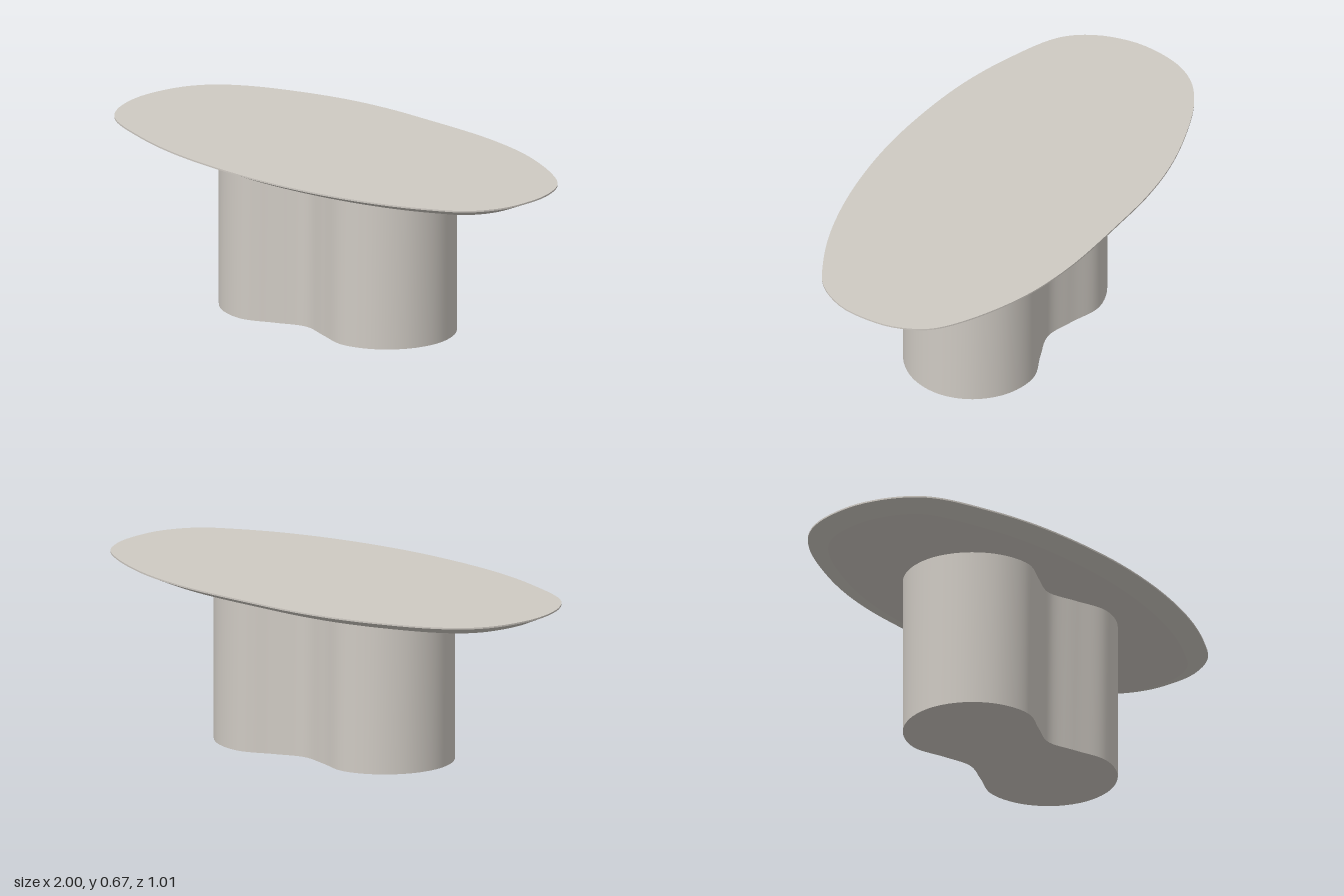
import * as THREE from 'three';
import { mergeGeometries } from 'three/addons/utils/BufferGeometryUtils.js';

// Smooth closed outline in the ground plane through [x, z] points
function outline(points, count) {
  const curve = new THREE.CatmullRomCurve3(points.map(([x, z]) => new THREE.Vector3(x, 0, z)), true);
  return curve.getSpacedPoints(count).slice(0, count);
}

// Move an outline inwards by a distance along its normals
function inset(ring, distance) {
  const n = ring.length;
  return ring.map((p, i) => {
    const t = ring[(i + 1) % n].clone().sub(ring[(i + n - 1) % n]).normalize();
    return new THREE.Vector3(p.x - t.z * distance, 0, p.z + t.x * distance);
  });
}

function indexed(positions, index) {
  const g = new THREE.BufferGeometry();
  g.setAttribute('position', new THREE.Float32BufferAttribute(positions, 3));
  g.setIndex(index);
  g.computeVertexNormals();
  return g;
}

// Smooth wall between two rings
function band(lower, y0, upper, y1) {
  const n = lower.length, positions = [], index = [];
  lower.forEach(p => positions.push(p.x, y0, p.z));
  upper.forEach(p => positions.push(p.x, y1, p.z));
  for (let i = 0; i < n; i++) {
    const j = (i + 1) % n;
    index.push(i, n + i, j, n + i, n + j, j);
  }
  return indexed(positions, index);
}

// Flat cap fanned from the centre
function cap(ring, y, up) {
  const n = ring.length, positions = [0, y, 0], index = [];
  ring.forEach(p => positions.push(p.x, y, p.z));
  for (let i = 0; i < n; i++) {
    const a = 1 + i, b = 1 + (i + 1) % n;
    if (up) index.push(0, b, a); else index.push(0, a, b);
  }
  return indexed(positions, index);
}

// Solid from stacked [ring, y] sections, with a crease at every section
function stack(sections) {
  const parts = [cap(...sections[0], false), cap(...sections[sections.length - 1], true)];
  for (let i = 1; i < sections.length; i++) parts.push(band(...sections[i - 1], ...sections[i]));
  return mergeGeometries(parts);
}

export function createModel() {
  const group = new THREE.Group();
  const stone = new THREE.MeshStandardMaterial({ color: 0xcfcac3 });
  stone.name = 'warmGreyStone';

  // Pebble-shaped top with an undercut edge
  const rim = outline([
    [-0.19, -0.51], [0, -0.502], [0.35, -0.47], [0.6, -0.405], [0.835, -0.285], [0.94, -0.195],
    [0.99, -0.08], [1, 0.015], [0.98, 0.16], [0.9, 0.285], [0.78, 0.355], [0.6, 0.425],
    [0.35, 0.48], [0.06, 0.502], [-0.2, 0.487], [-0.45, 0.445], [-0.66, 0.378], [-0.88, 0.27],
    [-0.957, 0.17], [-0.995, 0.04], [-0.995, -0.07], [-0.957, -0.21], [-0.89, -0.305],
    [-0.77, -0.385], [-0.555, -0.46], [-0.37, -0.498],
  ], 144);
  const top = new THREE.Mesh(stack([[inset(rim, 0.077), 0.627], [rim, 0.661], [rim, 0.667]]), stone);
  top.name = 'tableTop';
  group.add(top);

  // Two-lobed pedestal with a narrow waist
  const foot = outline([
    [0.519, 0], [0.484, 0.13], [0.388, 0.228], [0.255, 0.265], [0.12, 0.22], [0, 0.18],
    [-0.12, 0.22], [-0.25, 0.265], [-0.38, 0.228], [-0.475, 0.13], [-0.51, 0], [-0.475, -0.13],
    [-0.38, -0.228], [-0.25, -0.265], [-0.12, -0.22], [0, -0.185], [0.12, -0.22],
    [0.255, -0.265], [0.388, -0.228], [0.484, -0.13],
  ], 120);
  const pedestal = new THREE.Mesh(stack([[foot, 0], [foot, 0.627]]), stone);
  pedestal.name = 'pedestal';
  group.add(pedestal);

  return group;
}
